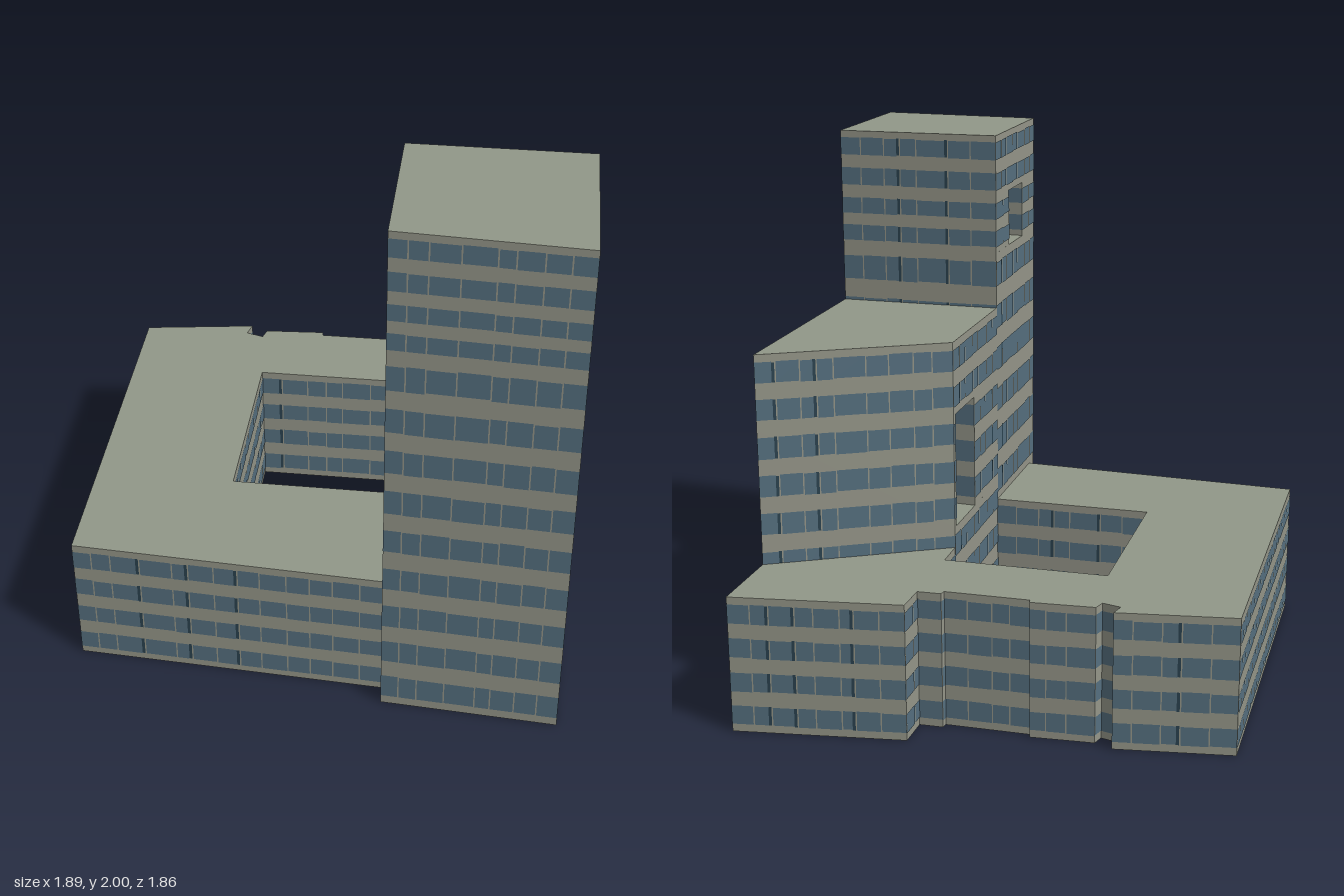
import * as THREE from 'three';
import { mergeGeometries } from 'three/addons/utils/BufferGeometryUtils.js';

const mat = (name, color) => {
  const m = new THREE.MeshStandardMaterial({ color });
  m.name = name;
  return m;
};

// Small seeded generator so window columns vary but stay repeatable
function seeded(seed) {
  let s = seed * 7919 + 17;
  return () => {
    s = (s * 16807) % 2147483647;
    return s / 2147483647;
  };
}

export function createModel() {
  const concrete = mat('concrete wall', 0x96978a);
  const roof = mat('roof grey', 0x929889);
  const glass = mat('blue glass', 0x567080);
  const darkGlass = mat('dark glass', 0x2b4350);
  const model = new THREE.Group();
  model.name = 'building';

  // Divide a facade into panes, with an occasional narrow dark strip
  function columns(length, rand) {
    const count = Math.max(1, Math.round(length / 0.085));
    const weights = Array.from({ length: count }, () => 0.65 + 0.7 * rand());
    const total = weights.reduce((a, b) => a + b, 0);
    const cols = [];
    let at = 0;
    weights.forEach((w, i) => {
      const end = at + (w / total) * length;
      const strip = i < count - 1 && rand() < 0.16 ? 0.011 : 0;
      const gap = i < count - 1 ? 0.005 : 0;
      cols.push({ from: at, to: end - gap - strip, dark: false });
      if (strip) cols.push({ from: end - gap - strip, to: end - gap, dark: true });
      at = end;
    });
    return cols;
  }

  // One prism on a plan of [x, z] corners, with window bands on every side
  function block(name, plan, y0, y1, floors) {
    const group = new THREE.Group();
    group.name = name;
    let pts = plan.map(([x, z]) => new THREE.Vector2(x, -z));
    if (THREE.ShapeUtils.area(pts) < 0) pts = pts.reverse();

    const body = new THREE.ExtrudeGeometry(new THREE.Shape(pts), { depth: y1 - y0, bevelEnabled: false });
    body.rotateX(-Math.PI / 2).translate(0, y0, 0);
    const walls = new THREE.Mesh(body, [roof, concrete]);
    walls.name = name + 'Walls';
    group.add(walls);

    const panes = { glass: [], dark: [] };
    const h = (y1 - y0) / floors;
    pts.forEach((a, i) => {
      const b = pts[(i + 1) % pts.length];
      const length = a.distanceTo(b);
      const dx = (b.x - a.x) / length, dz = -(b.y - a.y) / length;
      const nx = -dz, nz = dx;
      const rand = seeded(i + 3);
      const cols = columns(length, rand);
      for (let f = 0; f < floors; f++) {
        for (const c of cols) {
          const bottom = y0 + h * (f + 0.21 + 0.035 * rand());
          const top = y0 + h * (f + 0.77 + 0.035 * rand());
          const mid = (c.from + c.to) / 2;
          const pane = new THREE.PlaneGeometry(c.to - c.from, top - bottom);
          pane.rotateY(Math.atan2(nx, nz));
          pane.translate(a.x + dx * mid + nx * 0.002, (top + bottom) / 2, -a.y + dz * mid + nz * 0.002);
          panes[c.dark ? 'dark' : 'glass'].push(pane);
        }
      }
    });
    for (const [key, material] of [['glass', glass], ['dark', darkGlass]]) {
      if (!panes[key].length) continue;
      const mesh = new THREE.Mesh(mergeGeometries(panes[key]), material);
      mesh.name = name + (key === 'dark' ? 'DarkPanes' : 'Windows');
      group.add(mesh);
    }
    model.add(group);
  }

  // Low wing wrapped around the courtyard, with a stepped back wall
  block('lowWing', [
    [-0.945, -0.54], [-0.515, -0.63], [-0.525, -0.575], [-0.455, -0.56], [-0.445, -0.605],
    [-0.21, -0.635], [-0.205, -0.615], [0.11, -0.637], [0.112, -0.66], [0.2, -0.668],
    [0.195, -0.8], [0.82, -0.93], [0.84, -0.605], [0.23, -0.21], [0.22, -0.345],
    [-0.4, -0.305], [-0.355, 0.405], [0.265, 0.365], [0.295, 0.857], [-0.845, 0.868],
  ], 0, 0.52, 4);

  // Middle block, pierced sideways by a tall opening
  const midPlan = [[0.23, -0.21], [0.84, -0.605], [0.9, 0.325], [0.265, 0.365]];
  block('middleBase', midPlan, 0, 0.6, 4);
  block('middleBackPier', [[0.23, -0.21], [0.84, -0.605], [0.867, -0.19], [0.231, -0.19]], 0.6, 1.04, 3);
  block('middleFrontPier', [[0.246, 0.05], [0.882, 0.05], [0.9, 0.325], [0.265, 0.365]], 0.6, 1.04, 3);
  block('middleTop', midPlan, 1.04, 1.32, 2);

  // Tower, pierced near the top
  const towerPlan = [[0.265, 0.365], [0.9, 0.325], [0.94, 0.927], [0.3, 0.927]];
  block('towerShaft', towerPlan, 0, 1.54, 9);
  block('towerBackPier', [[0.265, 0.365], [0.9, 0.325], [0.915, 0.55], [0.277, 0.55]], 1.54, 1.76, 2);
  block('towerFrontPier', [[0.289, 0.75], [0.928, 0.75], [0.94, 0.927], [0.3, 0.927]], 1.54, 1.76, 2);
  block('towerTop', towerPlan, 1.76, 2, 2);

  return model;
}
